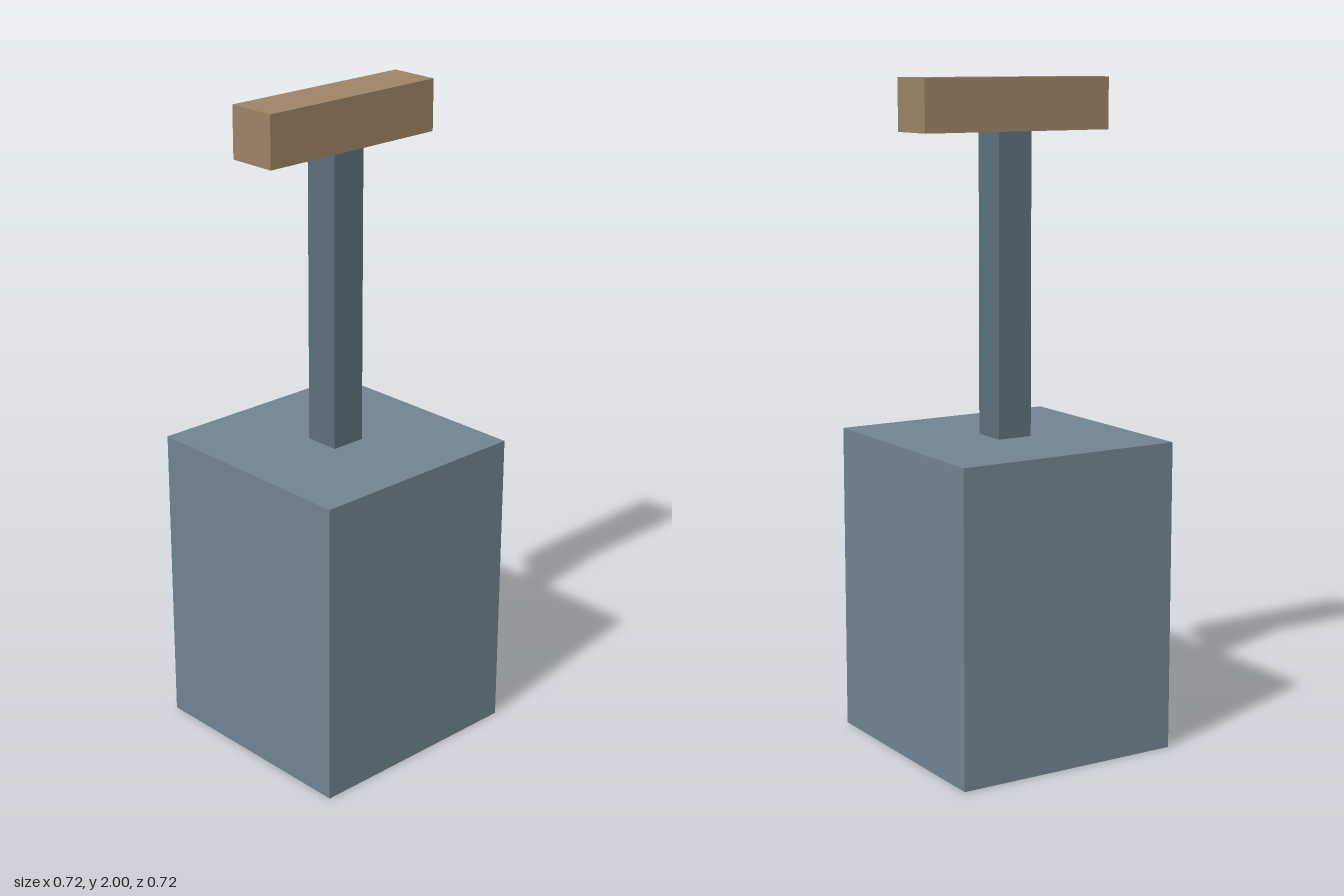
import * as THREE from 'three';

// Box standing between two heights, centred on the vertical axis
function block(name, width, depth, bottom, top, color) {
  const mesh = new THREE.Mesh(
    new THREE.BoxGeometry(width, top - bottom, depth),
    new THREE.MeshStandardMaterial({ color, flatShading: true })
  );
  mesh.name = name;
  mesh.position.y = (bottom + top) / 2;
  return mesh;
}

export function createModel() {
  const model = new THREE.Group();
  model.name = 'plungerBox';

  model.add(
    block('body', 0.717, 0.717, 0, 0.94, 0x708490),
    block('shaft', 0.112, 0.112, 0.94, 1.845, 0x5c707c),
    block('handle', 0.627, 0.156, 1.845, 2, 0x9c8466)
  );
  return model;
}
